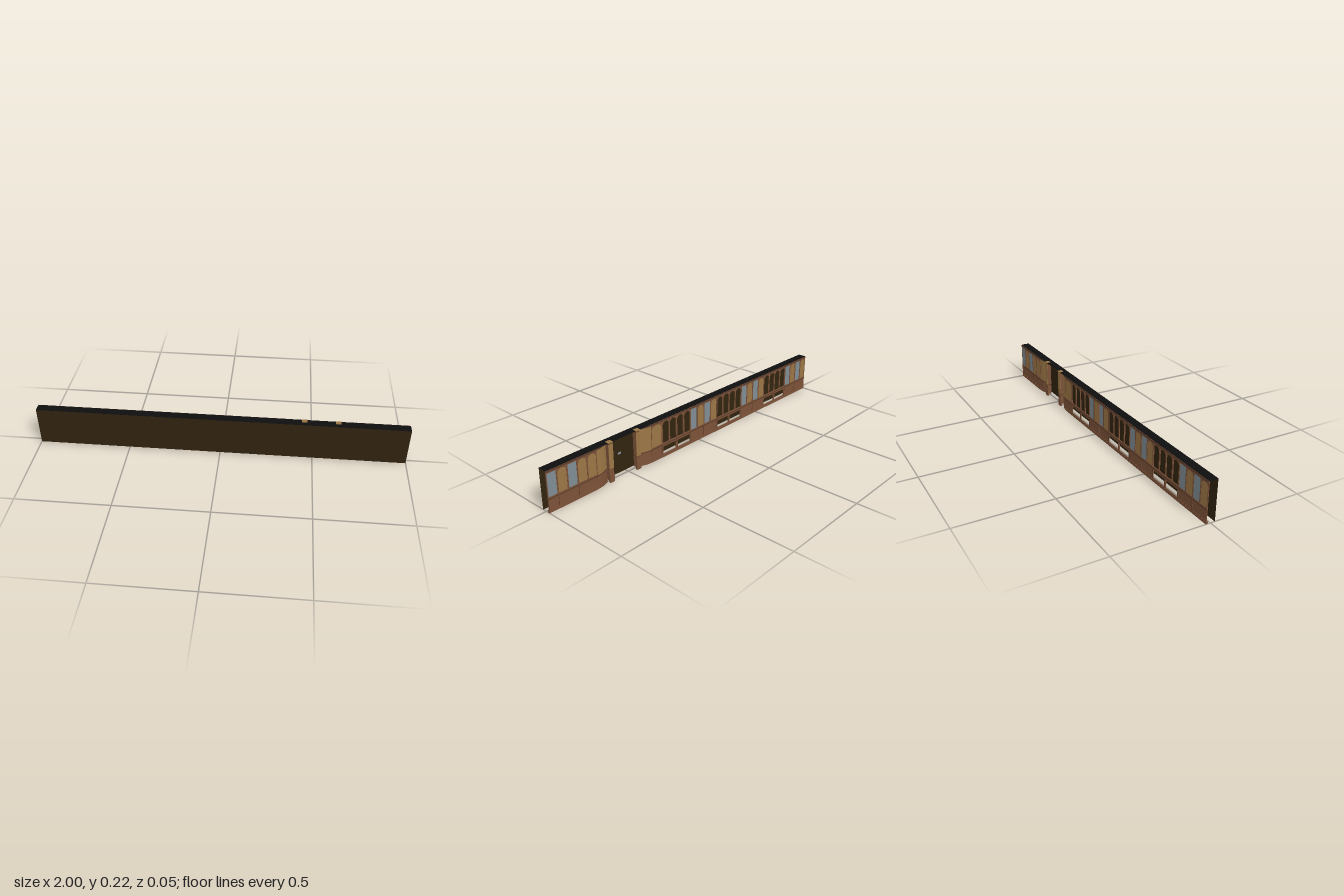
import * as THREE from 'three';

const mat = (name, color, side = THREE.FrontSide) => {
  const m = new THREE.MeshStandardMaterial({ color, side });
  m.name = name;
  return m;
};

export function createModel() {
  const model = new THREE.Group();
  const wood = mat('wood', 0x7d5238);
  const trim = mat('dark wood trim', 0x5f3f2b);
  const tan = mat('tan panel', 0x9c7746);
  const glass = mat('grey glass', 0x7f8c94);
  const shell = mat('dark shell', 0x31240f);
  const black = mat('black roof', 0x0e0e10);

  const add = (name, geo, material, parent = model) => {
    const mesh = new THREE.Mesh(geo, material);
    mesh.name = name;
    parent.add(mesh);
    return mesh;
  };
  // Box given by its limits on each axis
  const box = (name, x0, x1, y0, y1, z0, z1, material, parent) => {
    const m = add(name, new THREE.BoxGeometry(x1 - x0, y1 - y0, z1 - z0), material, parent);
    m.position.set((x0 + x1) / 2, (y0 + y1) / 2, (z0 + z1) / 2);
    return m;
  };
  const rect = (path, x0, x1, y0, y1) => {
    path.moveTo(x0, y0);
    path.lineTo(x1, y0);
    path.lineTo(x1, y1);
    path.lineTo(x0, y1);
    path.closePath();
    return path;
  };
  const arch = (x0, x1, y0, spring) => {
    const p = new THREE.Path();
    const r = (x1 - x0) / 2;
    p.moveTo(x0, y0);
    p.lineTo(x1, y0);
    p.lineTo(x1, spring);
    p.absellipse((x0 + x1) / 2, spring, r, 0.02, 0, Math.PI, false, 0);
    p.closePath();
    return p;
  };

  // Plain outer skin and roof
  box('outerWall', -1, 1, 0, 0.214, 0.0235, 0.0245, shell);
  box('roof', -1, 1, 0.214, 0.215, -0.0225, 0.0245, black);

  // Panelled run: T = tan arch, G = glass, O = open arch
  const buildRun = (name, start, end, bays) => {
    const run = new THREE.Group();
    run.name = name;
    model.add(run);
    const w = (end - start) / bays.length;
    const face = rect(new THREE.Shape(), start, end, 0, 0.214);
    [...bays].forEach((kind, i) => {
      const x0 = start + i * w + 0.004, x1 = start + (i + 1) * w - 0.004;
      if (kind === 'G') {
        face.holes.push(rect(new THREE.Path(), x0, x1, 0.08, 0.2));
        box('glassPane', x0, x1, 0.08, 0.2, -0.0225, -0.0215, glass, run);
      } else {
        face.holes.push(arch(x0, x1, 0.08, 0.18));
        if (kind === 'T') box('tanPanel', x0, x1, 0.08, 0.2, -0.0225, -0.0215, tan, run);
      }
      // Lower panels cover two bays and are open below the open arches
      const pairEnd = i % 2 === 1 || i === bays.length - 1;
      if (pairEnd) {
        const a = start + (i - (i % 2)) * w + 0.006;
        const open = kind === 'O';
        face.holes.push(rect(new THREE.Path(), a, x1 - 0.002, 0.018, 0.06));
        if (!open) box('lowerPanel', a, x1 - 0.002, 0.018, 0.06, -0.0227, -0.0215, wood, run);
        box('lowerDivider', x1 + 0.0025, Math.min(end, x1 + 0.0055), 0.012, 0.068, -0.0247, -0.024, trim, run);
      }
      if (i > 0) box('mullion', x0 - 0.0055, x0 - 0.0025, 0.075, 0.205, -0.0247, -0.024, wood, run);
    });
    const geo = new THREE.ExtrudeGeometry(face, { depth: 0.004, bevelEnabled: false, curveSegments: 8 });
    add('panelFrame', geo, wood, run).position.z = -0.024;
    box('skirting', start, end, 0, 0.012, -0.025, -0.014, wood, run);
    box('sillRail', start, end, 0.068, 0.074, -0.025, -0.019, trim, run);
    box('topRail', start, end, 0.205, 0.214, -0.025, -0.02, trim, run);
  };
  const period = 'TGTGOOOO';
  buildRun('longPanelRun', -1, 0.28, period.repeat(3));
  buildRun('entryPanel', 0.28, 0.358, 'T');
  buildRun('shortPanelRun', 0.712, 1, 'TTGTG');

  // Curved walls leading into the doorway, mirrored about its centre
  const centre = 0.535;
  const curvedBand = (name, side, y0, y1, material, group) => {
    const geo = new THREE.PlaneGeometry(0.075, y1 - y0, 10, 1);
    geo.rotateY(Math.PI);
    const p = geo.attributes.position;
    for (let i = 0; i < p.count; i++) {
      const t = 0.5 - side * p.getX(i) / 0.075; // 0 at the panels, 1 at the door
      p.setZ(i, -0.023 + 0.021 * t * t);
    }
    geo.computeVertexNormals();
    add(name, geo, material, group).position.set(centre + side * 0.1395, (y0 + y1) / 2, 0);
  };
  for (const side of [-1, 1]) {
    const group = new THREE.Group();
    group.name = side > 0 ? 'leftDoorSurround' : 'rightDoorSurround';
    model.add(group);
    curvedBand('curvedLowerWall', side, 0, 0.068, wood, group);
    curvedBand('curvedRail', side, 0.068, 0.074, trim, group);
    curvedBand('curvedUpperWall', side, 0.074, 0.205, tan, group);
    curvedBand('curvedTopRail', side, 0.205, 0.214, trim, group);
    // Door post with a tan face and cap
    const c = centre + side * 0.089, a = c - 0.014, b = c + 0.014;
    box('postBase', a, b, 0, 0.045, -0.0245, -0.014, wood, group);
    box('postLower', a, b, 0.012, 0.068, -0.022, 0.001, wood, group);
    box('postUpper', a, b, 0.074, 0.205, -0.022, 0.001, wood, group);
    box('postFace', a, b, 0.074, 0.205, -0.0235, -0.022, tan, group);
    box('postRail', a + 0.002, b - 0.002, 0.068, 0.074, -0.02, -0.002, trim, group);
    box('postNeck', a + 0.002, b - 0.002, 0.205, 0.211, -0.019, -0.001, shell, group);
    box('postCap', a, b, 0.211, 0.216, -0.0245, 0, tan, group);
  }

  // Small plate inside the doorway
  box('doorPlate', 0.523, 0.543, 0.1, 0.112, 0.0225, 0.0235, glass);

  return model;
}
